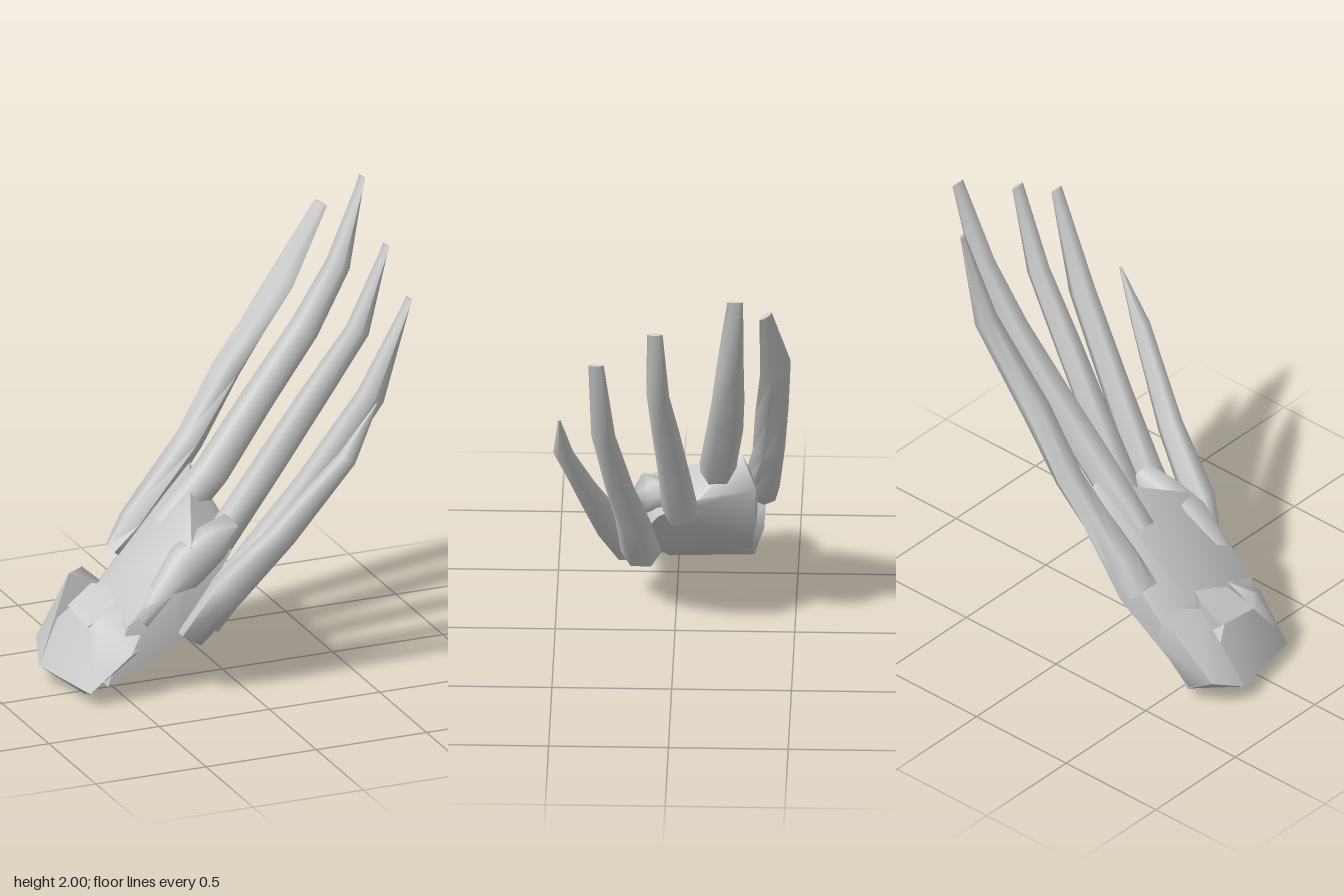
import * as THREE from 'three';
import { toCreasedNormals } from 'three/addons/utils/BufferGeometryUtils.js';
import { ConvexGeometry } from 'three/addons/geometries/ConvexGeometry.js';

const material = new THREE.MeshStandardMaterial({ color: 0xcccccc });
const SIDES = 6;

// Tapering limb through stations [x, y, z, half width, half thickness, roll]
function limb(stations) {
  const pos = [], index = [];
  stations.forEach(([x, y, z, w, t, roll = 0], i) => {
    const a = stations[Math.max(i - 1, 0)];
    const b = stations[Math.min(i + 1, stations.length - 1)];
    const len = Math.hypot(b[0] - a[0], b[1] - a[1]);
    const nx = -(b[1] - a[1]) / len, ny = (b[0] - a[0]) / len;
    const c = Math.cos(roll), s = Math.sin(roll);
    for (let j = 0; j < SIDES; j++) {
      const angle = ((j + 0.5) / SIDES) * Math.PI * 2;
      const across = Math.sin(angle) * w, up = Math.cos(angle) * t * 1.15;
      const n = up * c + across * s;
      pos.push(x + nx * n, y + ny * n, z + across * c - up * s);
    }
  });
  const last = (stations.length - 1) * SIDES;
  for (let i = 0; i < last; i += SIDES) {
    for (let j = 0; j < SIDES; j++) {
      const k = (j + 1) % SIDES;
      index.push(i + j, i + k, i + SIDES + k, i + j, i + SIDES + k, i + SIDES + j);
    }
  }
  for (let j = 1; j < SIDES - 1; j++) {
    index.push(0, j + 1, j, last, last + j, last + j + 1);
  }
  const g = new THREE.BufferGeometry();
  g.setAttribute('position', new THREE.Float32BufferAttribute(pos, 3));
  g.setIndex(index);
  return toCreasedNormals(g, 1.3);
}

// Rounded-looking mass wrapped around a few corner points
function mass(points) {
  const g = new ConvexGeometry(points.map((p) => new THREE.Vector3(...p)));
  return toCreasedNormals(g, 1.1);
}

export function createModel() {
  const group = new THREE.Group();
  const add = (name, geometry) => {
    const mesh = new THREE.Mesh(geometry, material);
    mesh.name = name;
    group.add(mesh);
  };

  // Digits with chisel tips, from the back edge of the hand to the front edge
  const digits = {
    thumbSideFinger: [
      [-0.35, 0.46, -0.345, 0.07, 0.035, 0.4], [-0.25, 0.57, -0.355, 0.077, 0.06, 0.2],
      [0.02, 0.89, -0.393, 0.068, 0.05, -0.1], [0.19, 1.17, -0.41, 0.073, 0.05, -0.3],
      [0.45, 1.52, -0.432, 0.07, 0.04, -0.45], [0.615, 1.855, -0.395, 0.032, 0.008, -0.66],
    ],
    indexFinger: [
      [-0.18, 0.6, -0.175, 0.07, 0.065], [0.03, 0.82, -0.182, 0.078, 0.065],
      [0.26, 1.11, -0.215, 0.077, 0.058], [0.47, 1.37, -0.235, 0.068, 0.055],
      [0.63, 1.63, -0.248, 0.056, 0.045], [0.75, 1.995, -0.272, 0.033, 0.004],
    ],
    middleFinger: [
      [-0.02, 0.55, -0.025, 0.077, 0.055], [0.2, 0.87, 0, 0.066, 0.055],
      [0.4, 1.17, 0.028, 0.058, 0.052], [0.59, 1.45, 0.055, 0.047, 0.045],
      [0.715, 1.815, 0.065, 0.033, 0.006],
    ],
    ringFinger: [
      [-0.15, 0.29, 0.145, 0.085, 0.065], [0.09, 0.58, 0.175, 0.072, 0.065],
      [0.29, 0.85, 0.225, 0.06, 0.06], [0.55, 1.24, 0.285, 0.05, 0.055],
      [0.715, 1.665, 0.31, 0.032, 0.006],
    ],
    littleFinger: [
      [-0.24, 0.25, 0.215, 0.05, 0.05], [-0.1, 0.47, 0.29, 0.065, 0.07],
      [0.12, 0.71, 0.355, 0.052, 0.055], [0.37, 1.05, 0.455, 0.043, 0.035],
      [0.5, 1.28, 0.47, 0.005, 0.005],
    ],
  };
  for (const [name, stations] of Object.entries(digits)) add(name, limb(stations));

  // Palm, bulging underneath and thinning to a crest at the knuckles
  add('palm', mass([
    [-0.57, 0.05, 0.12], [-0.56, 0.08, -0.31], [-0.5, 0.33, 0.17], [-0.47, 0.39, -0.2],
    [-0.48, 0.28, -0.33], [-0.03, 0.83, -0.28], [-0.2, 0.63, 0.14], [0.04, 0.7, -0.34],
    [0.04, 0.65, -0.1], [0.01, 0.55, 0.07], [-0.28, 0.24, 0.2], [-0.3, 0.45, 0.19],
    [-0.2, 0.33, -0.32], [-0.17, 0.34, 0.1], [-0.2, 0.59, -0.34],
  ]));

  // Knuckle ridge across the back of the hand
  add('knuckleRidge', limb([
    [-0.43, 0.33, 0.15, 0.04, 0.04], [-0.2, 0.54, 0.1, 0.09, 0.085],
    [-0.08, 0.61, 0.08, 0.085, 0.07], [0.02, 0.68, 0.06, 0.06, 0.035],
  ]));

  // Wrist cuff with raised lobes over the palm
  add('wristCuff', mass([
    [-0.76, 0.07, -0.17], [-0.68, 0.06, 0.19], [-0.64, 0, 0.04], [-0.57, 0.05, -0.32],
    [-0.48, 0.16, -0.31], [-0.45, 0.21, 0.17], [-0.5, 0.22, 0.22],
    [-0.63, 0.32, -0.15], [-0.6, 0.3, 0.1], [-0.71, 0.14, -0.32],
  ]));
  add('wristBackLobe', mass([
    [-0.59, 0.43, -0.25], [-0.48, 0.4, -0.37], [-0.43, 0.36, -0.26], [-0.71, 0.14, -0.32],
    [-0.76, 0.07, -0.17], [-0.58, 0.06, -0.32], [-0.45, 0.24, -0.36], [-0.5, 0.12, -0.2],
  ]));
  add('wristMiddleLobe', mass([
    [-0.63, 0.32, -0.17], [-0.52, 0.4, -0.18], [-0.45, 0.4, -0.14], [-0.43, 0.38, -0.04],
    [-0.46, 0.36, 0.02], [-0.63, 0.3, 0.04], [-0.5, 0.2, -0.16], [-0.5, 0.2, 0.02],
  ]));
  add('wristFrontLobe', mass([
    [-0.63, 0.29, 0.04], [-0.6, 0.34, 0.08], [-0.5, 0.38, 0.02], [-0.43, 0.35, 0.08],
    [-0.45, 0.28, 0.18], [-0.5, 0.23, 0.22], [-0.66, 0.1, 0.18], [-0.5, 0.18, 0.08],
  ]));

  return group;
}
